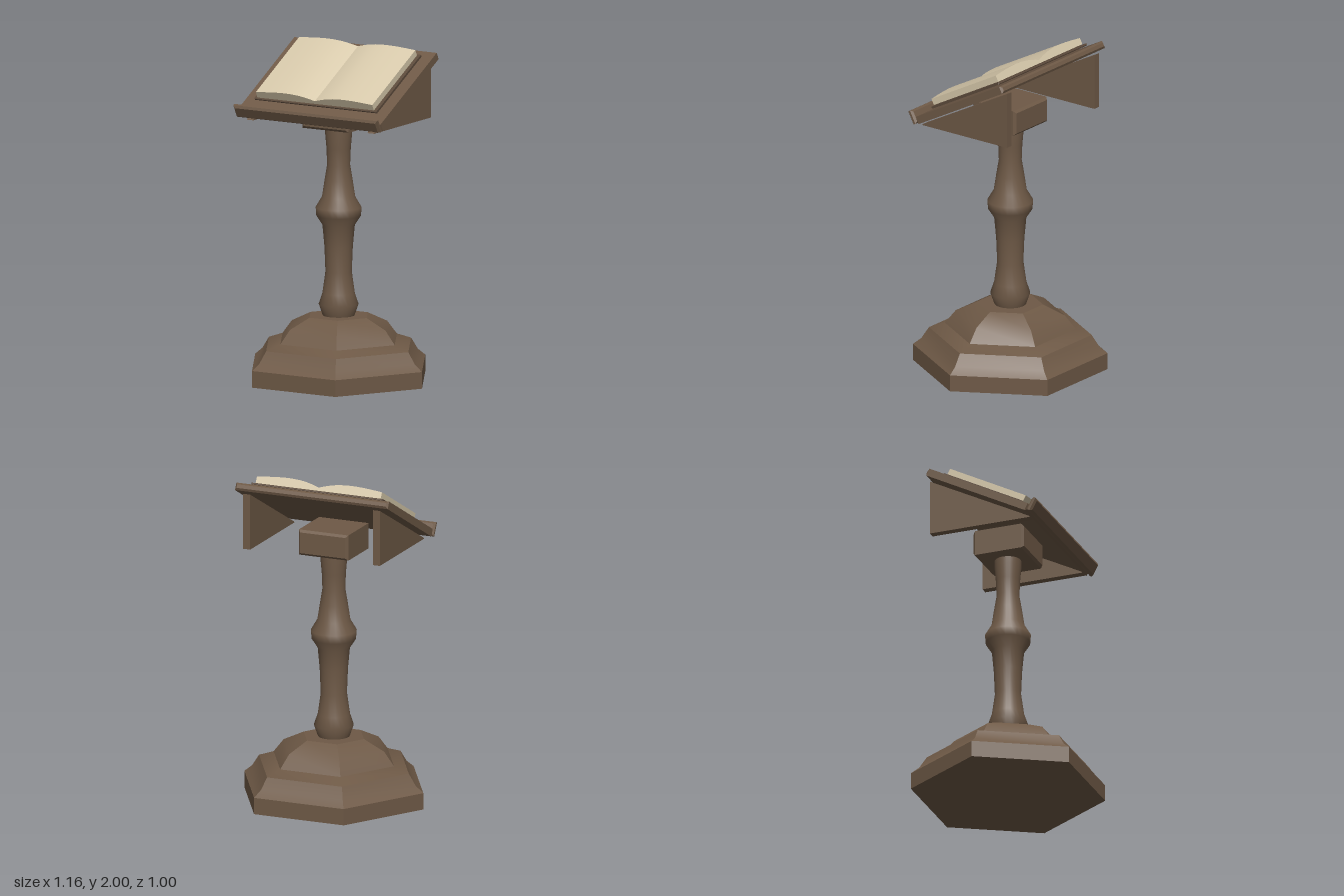
import * as THREE from 'three';
import { toCreasedNormals } from 'three/addons/utils/BufferGeometryUtils.js';

const TILT = THREE.MathUtils.degToRad(28);

const wood = new THREE.MeshStandardMaterial({ color: 0x6e5946 });
wood.name = 'brown wood';
const leather = new THREE.MeshStandardMaterial({ color: 0x5c4a3b });
leather.name = 'dark cover';
const paper = new THREE.MeshStandardMaterial({ color: 0xd6c8aa });
paper.name = 'cream paper';

const points = (list) => list.map(([x, y]) => new THREE.Vector2(x, y));

function add(parent, name, geometry, material, x = 0, y = 0, z = 0) {
  const mesh = new THREE.Mesh(geometry, material);
  mesh.name = name;
  mesh.position.set(x, y, z);
  parent.add(mesh);
  return mesh;
}

// Box with chamfered edges, centred on the origin
function chamferBox(w, h, d, b) {
  const x = w / 2 - b, y = h / 2 - b;
  const shape = new THREE.Shape(points([[-x, -y], [x, -y], [x, y], [-x, y]]));
  const geometry = new THREE.ExtrudeGeometry(shape, {
    depth: d - 2 * b, bevelEnabled: true, bevelSize: b, bevelThickness: b, bevelSegments: 1,
  });
  return geometry.translate(0, 0, b - d / 2);
}

// Open page block: two humped halves meeting in a gutter
function pageBlock(front, back) {
  const half = new THREE.SplineCurve(points([
    [0, 0.068], [0.05, 0.083], [0.12, 0.097], [0.21, 0.102], [0.31, 0.097], [0.405, 0.087],
  ])).getPoints(14);
  const mirrored = half.slice(1).map((p) => new THREE.Vector2(-p.x, p.y)).reverse();
  const outline = [
    ...points([[-0.405, 0.048], [0.405, 0.048]]),
    ...half.slice().reverse(),
    ...mirrored.reverse(),
  ];
  const geometry = new THREE.ExtrudeGeometry(new THREE.Shape(outline), {
    depth: front - back, bevelEnabled: false,
  });
  return toCreasedNormals(geometry.translate(0, 0, back), 0.3);
}

export function createModel() {
  const model = new THREE.Group();
  model.name = 'lectern';

  // Stepped hexagonal base
  const base = new THREE.LatheGeometry(points([
    [0, 0], [0.58, 0], [0.58, 0.1], [0.53, 0.14], [0.485, 0.21],
    [0.39, 0.243], [0.325, 0.325], [0.195, 0.387], [0, 0.387],
  ]), 6, Math.PI / 2);
  add(model, 'base', toCreasedNormals(base, 0.47), wood);

  // Turned column
  const column = new THREE.LatheGeometry(points([
    [0.092, 0.38], [0.118, 0.455], [0.096, 0.52], [0.078, 0.65], [0.084, 0.8],
    [0.096, 0.93], [0.132, 0.985], [0.136, 1.035], [0.098, 1.1], [0.083, 1.2],
    [0.068, 1.29], [0.072, 1.39], [0.08, 1.48], [0.08, 1.56],
  ]), 24);
  add(model, 'column', column, wood);

  // Block joining the column to the desk
  add(model, 'capBlock', chamferBox(0.32, 0.155, 0.32, 0.014), wood, 0, 1.595, 0);

  // Triangular brackets under both ends of the desk
  const triangle = new THREE.Shape(points([[0.315, 1.565], [0.31, 1.572], [-0.32, 1.903], [-0.32, 1.565]]).reverse());
  const bracket = new THREE.ExtrudeGeometry(triangle, { depth: 0.045, bevelEnabled: false })
    .rotateY(-Math.PI / 2).translate(0.0225, 0, 0);
  add(model, 'leftBracket', bracket, wood, 0.42);
  add(model, 'rightBracket', bracket, wood, -0.42);

  // Sloping desk with its ledge and the open book
  const desk = new THREE.Group();
  desk.name = 'desk';
  desk.position.y = 1.775;
  desk.rotation.x = TILT;
  model.add(desk);
  add(desk, 'deskBoard', chamferBox(0.99, 0.046, 0.73, 0.012), wood);
  add(desk, 'bookLedge', chamferBox(1, 0.085, 0.037, 0.012), wood, 0, 0.027, 0.379);
  add(desk, 'bookCover', chamferBox(0.85, 0.014, 0.57, 0.004), leather, 0, 0.038, -0.012);
  add(desk, 'bookPages', pageBlock(0.265, -0.28), paper);

  return model;
}
